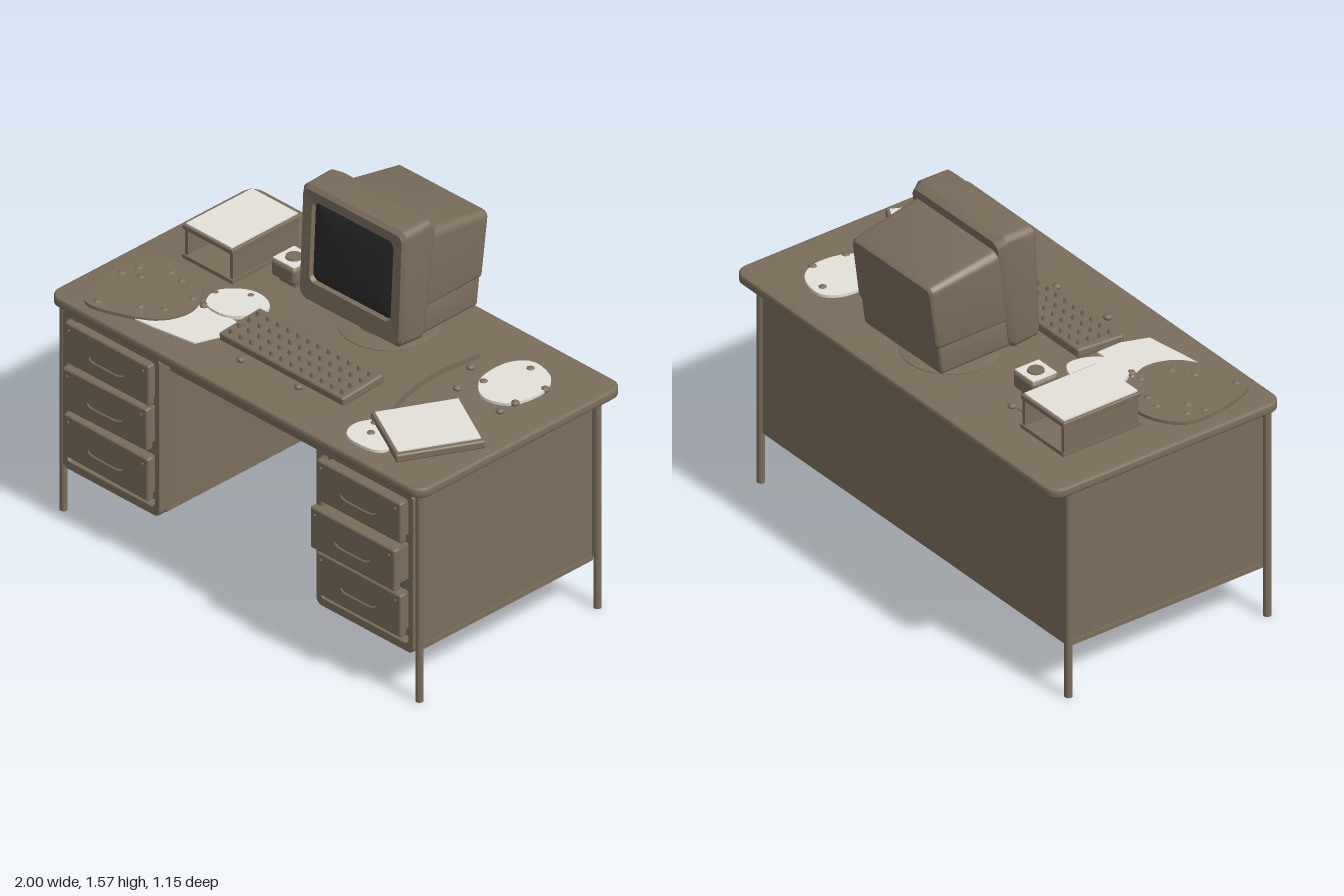
import * as THREE from 'three';
import { toCreasedNormals } from 'three/addons/utils/BufferGeometryUtils.js';
import { RoundedBoxGeometry } from 'three/addons/geometries/RoundedBoxGeometry.js';

const TOP = 0.972; // desk surface height

export function createModel() {
  const root = new THREE.Group();
  const mat = (name, color) => Object.assign(new THREE.MeshStandardMaterial({ color }), { name });
  const brown = mat('drab brown', 0x7b6d5b);
  const paper = mat('paper white', 0xe4e0d9);
  const dark = mat('screen black', 0x2b2b2b);

  const group = (name, parent = root) => {
    const g = new THREE.Group();
    g.name = name;
    parent.add(g);
    return g;
  };
  const add = (name, geo, material = brown, parent = root, x = 0, y = 0, z = 0) => {
    const m = new THREE.Mesh(geo, material);
    m.name = name;
    m.position.set(x, y, z);
    parent.add(m);
    return m;
  };
  // box from its limits, optionally rounded
  const box = (name, x0, x1, y0, y1, z0, z1, r = 0, material = brown, parent = root) => {
    const s = [x1 - x0, y1 - y0, z1 - z0];
    const geo = r ? new RoundedBoxGeometry(...s, 2, r) : new THREE.BoxGeometry(...s);
    return add(name, geo, material, parent, (x0 + x1) / 2, (y0 + y1) / 2, (z0 + z1) / 2);
  };
  // flat slab lying at height y, outlined by [x, z] points
  const slab = (name, pts, y, h, material, smooth = false) => {
    const v = pts.map(([x, z]) => new THREE.Vector3(x, -z, 0));
    const outline = smooth ? new THREE.CatmullRomCurve3(v, true).getPoints(40).slice(0, -1) : v;
    const shape = new THREE.Shape(outline.map(p => new THREE.Vector2(p.x, p.y)));
    const geo = new THREE.ExtrudeGeometry(shape, { depth: h, bevelEnabled: false });
    geo.rotateX(-Math.PI / 2);
    return add(name, geo, material, root, 0, y, 0);
  };
  // corner points of a rounded rectangle, anticlockwise
  const rectPoints = (x0, x1, y0, y1, r, steps = 5) => {
    const centres = [[x1 - r, y0 + r], [x1 - r, y1 - r], [x0 + r, y1 - r], [x0 + r, y0 + r]];
    return centres.flatMap(([cx, cy], q) => Array.from({ length: steps + 1 }, (_, i) => {
      const a = (q - 1 + i / steps) * Math.PI / 2;
      return new THREE.Vector2(cx + r * Math.cos(a), cy + r * Math.sin(a));
    }));
  };
  // skin over rounded rectangles, front to back: [halfWidth, yBottom, yTop, zBottom, zTop, radius]
  const loft = rings => {
    const pos = [], idx = [];
    let n = 0;
    for (const [hw, y0, y1, z0, z1, r] of rings) {
      const pts = rectPoints(-hw, hw, y0, y1, r);
      n = pts.length;
      for (const p of pts) pos.push(p.x, p.y, z0 + (z1 - z0) * (p.y - y0) / (y1 - y0));
    }
    for (let i = 0; i < rings.length - 1; i++) for (let j = 0; j < n; j++) {
      const a = i * n + j, b = i * n + (j + 1) % n;
      idx.push(a, a + n, b, b, a + n, b + n);
    }
    const last = (rings.length - 1) * n;
    for (let j = 1; j < n - 1; j++) idx.push(0, j, j + 1, last, last + j + 1, last + j);
    const geo = new THREE.BufferGeometry();
    geo.setAttribute('position', new THREE.Float32BufferAttribute(pos, 3));
    geo.setIndex(idx);
    return toCreasedNormals(geo, 0.6);
  };

  // Desk top and carcass
  const desk = group('desk');
  const topGeo = new THREE.ExtrudeGeometry(new THREE.Shape(rectPoints(-0.99, 0.99, -0.51, 0.565, 0.05, 8)),
    { depth: 0.022, bevelThickness: 0.01, bevelSize: 0.01, bevelSegments: 3 });
  topGeo.rotateX(-Math.PI / 2);
  add('deskTop', toCreasedNormals(topGeo, 0.7), brown, desk, 0, 0.94, 0);
  box('backPanel', -0.95, 0.95, 0.23, 0.935, -0.475, -0.455, 0, brown, desk);
  box('topRail', -0.945, 0.945, 0.905, 0.935, -0.46, 0.47, 0, brown, desk);
  const lock = add('backLock', new THREE.SphereGeometry(0.018, 12, 8), brown, desk, 0, 0.84, -0.476);
  lock.scale.z = 0.5;
  for (const sx of [-1, 1]) for (const z of [0.475, -0.472])
    add('leg', new THREE.CylinderGeometry(0.016, 0.016, 0.93, 12), brown, desk, sx * 0.957, 0.47, z);

  // Drawer pedestals: how far each drawer sticks out and tips, top to bottom
  const heights = [[0.705, 0.885], [0.505, 0.69], [0.285, 0.475]];
  const pulls = { '-1': [0.52, 0.53, 0.525], '1': [0.53, 0.562, 0.53] };
  const tips = { '-1': [0, 0.02, -0.015], '1': [0, 0, 0] };
  for (const s of [-1, 1]) {
    const ped = group(s < 0 ? 'rightPedestal' : 'leftPedestal', desk);
    const x0 = s < 0 ? -0.945 : 0.42, x1 = s < 0 ? -0.42 : 0.945;
    box('cabinet', x0, x1, 0.225, 0.93, -0.46, 0.46, 0, brown, ped);
    box('sideBottomRail', s * 0.947 - 0.004, s * 0.947 + 0.004, 0.22, 0.24, -0.455, 0.46, 0, brown, ped);
    const frame = new THREE.Shape(rectPoints(x0 + 0.01, x1, 0.22, 0.925, 0.025));
    frame.holes.push(new THREE.Path(rectPoints(x0 + 0.03, x1 - 0.02, 0.25, 0.9, 0.02)));
    add('frontFrame', new THREE.ExtrudeGeometry(frame,
      { depth: 0.04, bevelThickness: 0.005, bevelSize: 0.004, bevelSegments: 2 }), brown, ped, 0, 0, 0.455);
    heights.forEach(([y0, y1], i) => {
      const d = group('drawer', ped), cx = (x0 + x1) / 2, z = pulls[s][i];
      d.position.set(cx, (y0 + y1) / 2, z);
      d.rotation.z = tips[s][i];
      const h = (y1 - y0) / 2;
      box('drawerFront', -0.228, 0.228, -h, h, -0.035, 0, 0.01, brown, d);
      box('drawerBox', -0.21, 0.21, -h + 0.015, h - 0.02, 0.40 - z, -0.03, 0, brown, d);
      const path = new THREE.CatmullRomCurve3([[-0.095, -0.012, -0.004], [-0.08, -0.018, 0.005],
        [0, -0.022, 0.006], [0.08, -0.018, 0.005], [0.095, -0.012, -0.004]].map(p => new THREE.Vector3(...p)));
      add('drawerHandle', new THREE.TubeGeometry(path, 16, 0.005, 6), brown, d);
      for (const k of [-1, 1])
        add('drawerRivet', new THREE.SphereGeometry(0.006, 8, 6), brown, d, k * 0.2, h - 0.03, 0);
    });
  }
  const mid = box('centreDrawer', -0.41, 0.41, 0.865, 0.905, 0.0, 0.455, 0.008, brown, desk);
  mid.rotation.z = 0.012;
  box('kneeholeRail', -0.42, 0.42, 0.85, 0.866, 0.40, 0.44, 0, brown, desk);

  // Monitor
  const mon = group('monitor');
  mon.position.x = 0.065;
  mon.rotation.y = 0.01;
  add('monitorBezel', loft([
    [0.212, 1.165, 1.508, -0.056, -0.072, 0.03], [0.217, 1.16, 1.513, -0.036, -0.054, 0.03],
    [0.262, 1.082, 1.555, -0.032, -0.052, 0.03], [0.274, 1.068, 1.57, -0.045, -0.068, 0.035],
    [0.276, 1.06, 1.572, -0.15, -0.2, 0.035], [0.262, 1.07, 1.55, -0.175, -0.235, 0.035]]), brown, mon);
  add('monitorScreen', loft([
    [0.12, 1.24, 1.43, -0.045, -0.054, 0.03], [0.18, 1.19, 1.48, -0.048, -0.061, 0.03],
    [0.212, 1.165, 1.508, -0.054, -0.070, 0.03]]), dark, mon);
  add('monitorUpperBody', loft([
    [0.262, 1.165, 1.52, -0.16, -0.19, 0.04], [0.262, 1.165, 1.51, -0.19, -0.235, 0.04],
    [0.245, 1.165, 1.455, -0.495, -0.53, 0.03], [0.236, 1.175, 1.445, -0.506, -0.541, 0.025]]), brown, mon);
  add('monitorLowerBody', loft([
    [0.258, 1.065, 1.21, -0.15, -0.16, 0.02], [0.258, 1.065, 1.21, -0.2, -0.21, 0.02],
    [0.24, 1.05, 1.19, -0.475, -0.492, 0.02], [0.232, 1.058, 1.182, -0.482, -0.499, 0.015]]), brown, mon);
  const stand = [[0, 0.97], [0.2, 0.97], [0.2, 0.975], [0.185, 0.979], [0.12, 0.982], [0.11, 1.005],
    [0.13, 1.025], [0.155, 1.055], [0.155, 1.09]].map(p => new THREE.Vector2(...p));
  add('monitorStand', toCreasedNormals(new THREE.LatheGeometry(stand, 36), 0.6), brown, mon, 0, 0, -0.25);

  // Keyboard
  const kb = group('keyboard');
  kb.position.set(0.025, 0.99, 0.18);
  kb.rotation.x = 0.07;
  box('keyboardBase', -0.335, 0.335, -0.018, 0.022, -0.11, 0.11, 0.01, brown, kb);
  const key = new THREE.CylinderGeometry(0.011, 0.017, 0.018, 8);
  for (let r = 0; r < 4; r++) for (let c = 0; c < 12; c++)
    add('key', key, brown, kb, -0.3 + c * 0.0545 + (r % 2) * 0.006, 0.03, -0.075 + r * 0.05);

  // Letter tray, open at front and back, with a sheet on top
  const tray = group('letterTray');
  box('trayBase', -0.82, -0.55, TOP, 0.988, -0.39, -0.02, 0, brown, tray);
  box('trayShelf', -0.82, -0.55, 1.1, 1.122, -0.39, -0.02, 0.005, brown, tray);
  for (const x of [-0.808, -0.565]) box('traySide', x - 0.008, x + 0.008, 0.98, 1.105, -0.385, -0.03, 0, brown, tray);
  box('traySheet', -0.808, -0.562, 1.122, 1.128, -0.38, -0.028, 0, paper, tray);

  // Small square pot
  const pot = group('pot');
  box('potFoot', -0.45, -0.36, TOP, 1.02, -0.245, -0.165, 0.01, brown, pot);
  box('potBody', -0.468, -0.338, 1.0, 1.075, -0.268, -0.138, 0.018, brown, pot);
  box('potLid', -0.46, -0.346, 1.075, 1.08, -0.26, -0.146, 0, paper, pot);
  add('potKnob', new THREE.CylinderGeometry(0.032, 0.036, 0.014, 16), brown, pot, -0.403, 1.08, -0.203);

  // Loose sheets, stains and mat
  slab('mat', [[-0.92, 0.12], [-0.8, 0.03], [-0.68, 0.03], [-0.56, 0.13], [-0.51, 0.24], [-0.55, 0.36],
    [-0.68, 0.44], [-0.84, 0.475], [-0.91, 0.35]], TOP, 0.014, brown, true);
  slab('looseSheet', [[-0.53, 0.16], [-0.31, 0.16], [-0.31, 0.27], [-0.35, 0.38], [-0.54, 0.41], [-0.63, 0.42],
    [-0.53, 0.33]], TOP, 0.006, paper);
  slab('crumpledSheetRight', [[-0.545, 0.07], [-0.48, -0.01], [-0.4, -0.03], [-0.32, 0.01], [-0.33, 0.1],
    [-0.4, 0.17], [-0.51, 0.16]], TOP, 0.016, paper, true);
  slab('crumpledSheetBack', [[0.59, -0.36], [0.65, -0.43], [0.78, -0.4], [0.83, -0.31], [0.8, -0.16],
    [0.7, -0.12], [0.6, -0.2]], TOP, 0.012, paper, true);
  slab('crumpledSheetLeft', [[0.49, 0.36], [0.54, 0.27], [0.68, 0.3], [0.7, 0.42], [0.6, 0.45], [0.52, 0.43]],
    TOP, 0.012, paper, true);
  slab('curvedStrip', [[0.48, -0.32], [0.42, -0.15], [0.42, 0.02], [0.47, 0.23], [0.53, 0.3], [0.54, 0.25],
    [0.48, 0.05], [0.46, -0.12]], TOP, 0.025, brown, true);

  // Clipboard with its sheet, turned on the desk
  const clip = group('clipboard');
  clip.position.set(0.727, TOP, 0.2);
  clip.rotation.y = -0.48;
  box('clipboardBase', -0.163, 0.163, 0, 0.035, -0.178, 0.178, 0.008, brown, clip);
  box('clipboardSheet', -0.15, 0.143, 0.035, 0.04, -0.165, 0.165, 0, paper, clip);

  // Crumbs scattered over the desk
  const crumb = new THREE.SphereGeometry(0.018, 8, 6);
  const crumbs = [[-0.42, -0.33], [-0.47, -0.2], [-0.87, 0.16], [-0.89, 0.23], [-0.76, 0.1], [-0.82, 0.2],
    [-0.69, 0.11], [-0.57, 0.17], [-0.54, 0.08], [-0.59, 0.3], [-0.67, 0.35], [-0.81, 0.44], [-0.43, 0.0],
    [-0.51, 0.17], [-0.14, 0.34], [0.15, 0.32], [0.51, -0.24], [0.58, -0.1], [0.62, -0.2], [0.68, -0.39],
    [0.82, -0.33], [0.81, -0.18], [0.81, -0.1], [0.58, 0.36], [0.54, 0.3]];
  for (const [x, z] of crumbs) add('crumb', crumb, brown, root, x, TOP + 0.008, z).scale.y = 0.7;
  const cord = new THREE.CatmullRomCurve3([[-0.54, -0.31], [-0.49, -0.317], [-0.44, -0.32]]
    .map(([x, z]) => new THREE.Vector3(x, TOP + 0.002, z)));
  add('cord', new THREE.TubeGeometry(cord, 12, 0.003, 5), brown);

  return root;
}
